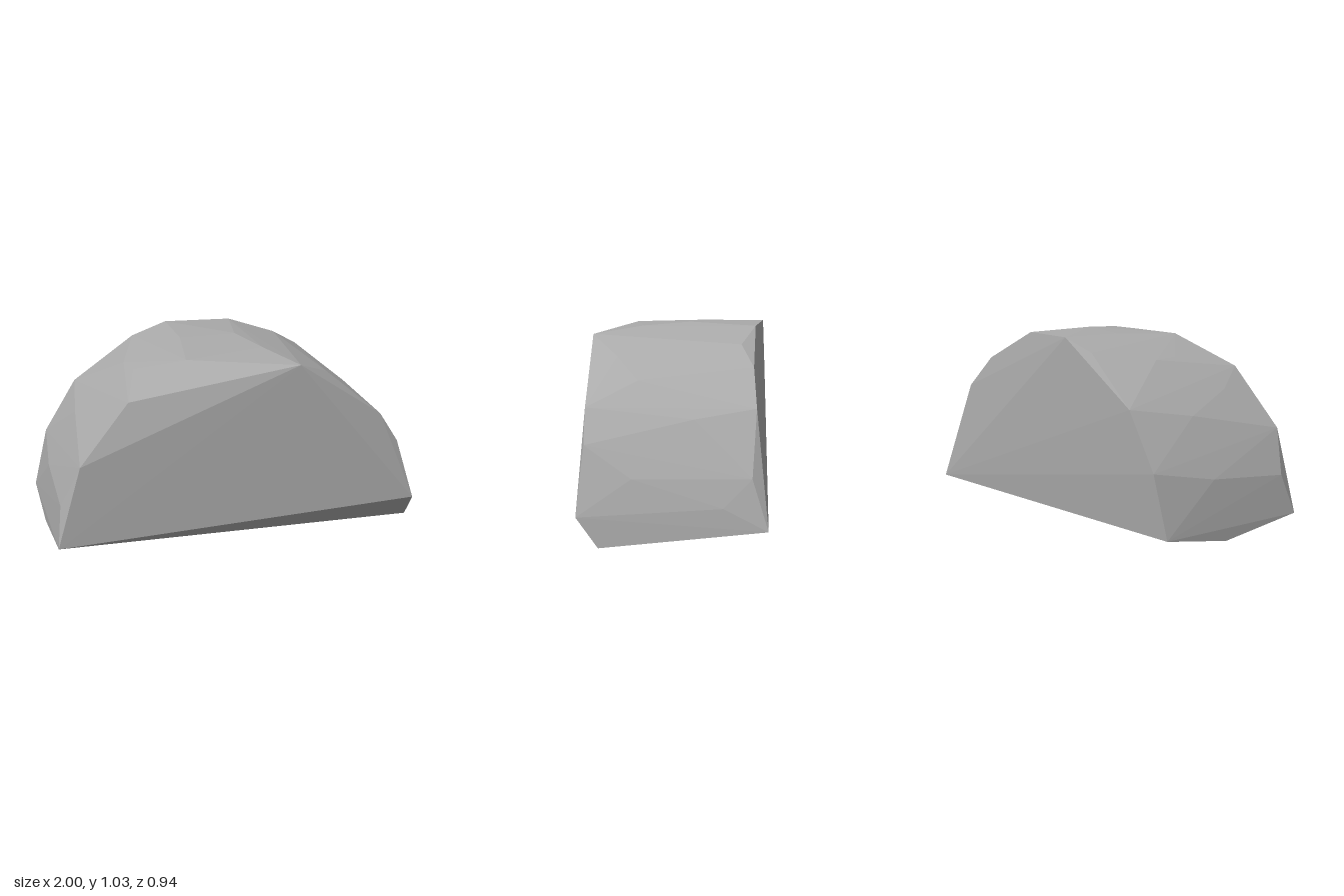
import * as THREE from 'three';
import { ConvexGeometry } from 'three/addons/geometries/ConvexGeometry.js';

// Corners [x, y, z] of a faceted half-round boulder
const frontRim = [
  [-1, 0.09, 0.455], [-0.87, 0.53, 0.45], [-0.6, 0.84, 0.4], [-0.26, 1.0, 0.27],
  [0.31, 0.98, 0.46], [0.78, 0.66, 0.445], [0.89, 0.49, 0.44], [0.99, 0.15, 0.47],
];
const backRim = [
  [-1, 0.09, -0.45], [-0.92, 0.41, -0.47], [-0.74, 0.7, -0.47], [-0.4, 0.95, -0.435],
  [-0.2, 1.015, -0.45], [0.17, 1.015, -0.405], [0.58, 0.84, -0.395], [0.78, 0.66, -0.41],
  [0.94, 0.34, -0.39], [0.99, 0.09, -0.47],
];
// Low corners of the tilted underside
const underside = [[1, 0, 0.36], [-1, 0.025, -0.05]];
// Corners scattered over the rounded back between the rims
const crown = [
  [-0.97, 0.3, 0.38], [-0.96, 0.34, -0.1], [-0.8, 0.64, -0.1], [-0.7, 0.74, 0.22],
  [-0.52, 0.9, -0.1], [-0.5, 0.905, 0.05], [-0.2, 1.015, -0.1], [0.1, 1.03, -0.05],
  [0.18, 1.015, 0.2], [0.42, 0.94, -0.33], [0.51, 0.885, 0.31], [0.66, 0.78, 0.19],
  [0.82, 0.61, -0.1], [0.95, 0.335, 0.2], [0.98, 0.2, -0.25],
];

export function createModel() {
  const group = new THREE.Group();
  group.name = 'boulder';

  const stone = new THREE.MeshStandardMaterial({ color: 0xaaaaaa });
  stone.name = 'grey stone';

  // Flat facets wrapped tightly around all corners
  const corners = [...frontRim, ...backRim, ...underside, ...crown]
    .map(([x, y, z]) => new THREE.Vector3(x, y, z));
  const rock = new THREE.Mesh(new ConvexGeometry(corners), stone);
  rock.name = 'rock';
  group.add(rock);
  return group;
}
